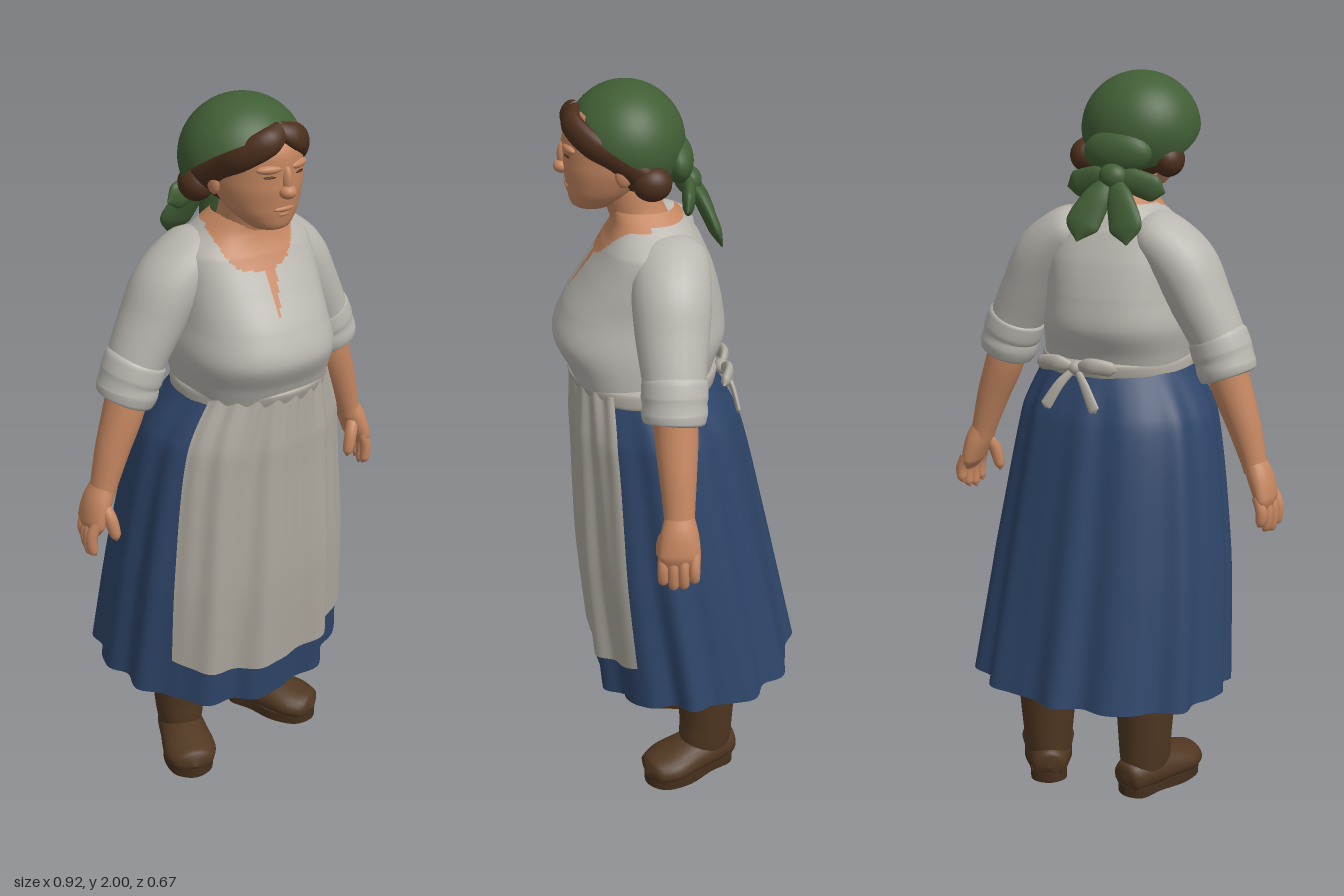
import * as THREE from 'three';

const mat = (name, color, side = THREE.FrontSide) => {
  const m = new THREE.MeshStandardMaterial({ color, side });
  m.name = name;
  return m;
};
const V = (x, y, z) => new THREE.Vector3(x, y, z);
const YAW = 0.26; // the body is turned slightly to its left

// Surface grid over u (around) and v (along); pick gives a material index per cell
function grid(fn, nu, nv, wrap, pick) {
  const pos = [], lists = [[], []], cols = wrap ? nu : nu + 1;
  for (let i = 0; i <= nv; i++) {
    for (let j = 0; j < cols; j++) pos.push(...fn(j / nu, i / nv).toArray());
  }
  for (let i = 0; i < nv; i++) {
    for (let j = 0; j < nu; j++) {
      const k = (j + 1) % cols;
      const a = i * cols + j, b = i * cols + k, c = a + cols, d = b + cols;
      const index = pick ? pick(fn((j + 0.5) / nu, (i + 0.5) / nv)) : 0;
      lists[index].push(a, c, b, b, c, d);
    }
  }
  const g = new THREE.BufferGeometry();
  g.setAttribute('position', new THREE.Float32BufferAttribute(pos, 3));
  g.setIndex(lists.flat());
  if (pick) {
    g.addGroup(0, lists[0].length, 0);
    g.addGroup(lists[0].length, lists[1].length, 1);
  }
  g.computeVertexNormals();
  return g;
}

// Smooth interpolation through rows of [x, y, z, rx, rz]
function spine(rows) {
  const centre = new THREE.CatmullRomCurve3(rows.map(r => V(r[0], r[1], r[2])));
  const radius = new THREE.CatmullRomCurve3(rows.map(r => V(r[3], r[4] ?? r[3], 0)));
  return { centre, radius };
}

// Unit outline point; power above 2 makes the circle squarer
function outline(a, power) {
  const c = Math.cos(a), s = Math.sin(a);
  const k = (Math.abs(c) ** power + Math.abs(s) ** power) ** (-1 / power);
  return [c * k, s * k];
}

// Rounded sections swept along a spine; flat keeps rings horizontal
function sweep(rows, { yaw = 0, ref, flat = false, power = 2, nu = 24, nv = 24, pick } = {}) {
  const { centre, radius } = spine(rows);
  const front = ref ?? V(Math.sin(yaw), 0, Math.cos(yaw));
  return grid((u, v) => {
    const t = flat ? V(0, 1, 0) : centre.getTangent(v);
    const x = t.clone().cross(front).normalize(), f = x.clone().cross(t);
    const r = radius.getPoint(v), [c, s] = outline(u * Math.PI * 2, power);
    return centre.getPoint(v)
      .addScaledVector(x, Math.max(r.x, 0.001) * c)
      .addScaledVector(f, Math.max(r.y, 0.001) * s);
  }, nu, nv, true, pick);
}

export function createModel() {
  const model = new THREE.Group();
  model.name = 'woman';
  const skin = mat('skin', 0xc48660), hair = mat('hair', 0x4c2f1d);
  const blouse = mat('blouse cloth', 0xb9b6af);
  const apronCloth = mat('apron cloth', 0xaea99f, THREE.DoubleSide);
  const skirtCloth = mat('skirt cloth', 0x2e4569, THREE.DoubleSide);
  const green = mat('kerchief cloth', 0x415e35, THREE.DoubleSide);
  const leather = mat('boot leather', 0x503721), soleMat = mat('boot sole', 0x442f1c);

  const add = (parent, name, geometry, material) => {
    const m = new THREE.Mesh(geometry, material);
    m.name = name;
    parent.add(m);
    return m;
  };
  const blob = (parent, name, material, p, s) => {
    const m = add(parent, name, new THREE.SphereGeometry(1, 24, 16), material);
    m.position.set(...p);
    m.scale.set(...s);
    return m;
  };
  const group = (parent, name) => {
    const g = new THREE.Group();
    g.name = name;
    parent.add(g);
    return g;
  };

  // Torso: blouse with a scooped neckline and a short slit
  const neckline = p => {
    const dx = p.x - 0.02;
    if (p.z + dx * 0.26 < 0.07) return p.y > 1.665 ? 1 : 0;
    const scoop = p.y > 1.568 + 500 * dx ** 4;
    const slit = p.y > 1.46 && Math.abs(p.x - 0.042) < 0.13 * (p.y - 1.45);
    return scoop || slit ? 1 : 0;
  };
  add(model, 'blouse', sweep([
    [0.03, 1.21, 0.09, 0.195, 0.175], [0.026, 1.27, 0.095, 0.203, 0.196],
    [0.018, 1.35, 0.1, 0.208, 0.228], [0.016, 1.43, 0.09, 0.197, 0.21],
    [0.016, 1.52, 0.072, 0.193, 0.17], [0.015, 1.6, 0.064, 0.183, 0.128],
    [0.015, 1.65, 0.068, 0.125, 0.1], [0.015, 1.69, 0.085, 0.08, 0.08],
  ], { yaw: YAW, flat: true, power: 2.4, nu: 160, nv: 100, pick: neckline }), [blouse, skin]);
  add(model, 'neck', sweep([
    [0.013, 1.64, 0.085, 0.078], [0.015, 1.7, 0.11, 0.074], [0.02, 1.78, 0.135, 0.075],
  ], { yaw: YAW, flat: true }), skin);

  // Skirt, with pleats deepening towards a hem that dips at the front
  const skirt = spine([
    [0.03, 1.24, 0.09, 0.2, 0.18], [0.005, 1.1, 0.06, 0.272, 0.22],
    [-0.01, 0.7, 0.01, 0.33, 0.26], [-0.015, 0.345, -0.045, 0.358, 0.278],
  ]);
  const skirtPoint = (a, t, out) => {
    const p = skirt.centre.getPoint(t), r = skirt.radius.getPoint(t), [oc, os] = outline(a, 2 + 0.2 * t);
    const pleat = out + t * (0.012 * Math.sin(12 * a + 1) + 0.005 * Math.sin(19 * a));
    const x = (r.x + pleat) * oc, z = (r.y + pleat) * os;
    const c = Math.cos(0.22), s = Math.sin(0.22), dip = 0.07 * Math.max(0, Math.sin(a)) ** 2;
    return V(p.x + x * c + z * s, p.y - dip * t * t, p.z - x * s + z * c);
  };
  add(model, 'skirt', grid((u, v) => skirtPoint(u * Math.PI * 2, 1 - v, 0), 144, 40, true), skirtCloth);

  // Apron panel with gathers over the front of the skirt, waistband and bow
  add(model, 'apron', grid((u, v) => {
    const t = (1 - v) * (0.9 - 0.02 * Math.pow(Math.abs(2 * u - 1), 4));
    const from = 0.43 + 0.13 * t, to = 2.62 - 0.22 * t;
    const gather = 0.004 * Math.sin(u * 55) * (1 - t);
    return skirtPoint(from + (to - from) * u, t, 0.011 + gather);
  }, 90, 36, false), apronCloth);
  add(model, 'apronWaistband', sweep([
    [0.03, 1.2, 0.085, 0.19, 0.175], [0.03, 1.208, 0.085, 0.213, 0.19],
    [0.03, 1.245, 0.088, 0.21, 0.2], [0.03, 1.26, 0.09, 0.195, 0.18],
  ], { yaw: YAW, flat: true, nu: 64, nv: 12 }), apronCloth);
  const bow = group(model, 'apronBow');
  bow.position.set(0.01, 1.24, -0.122);
  bow.rotation.y = YAW;
  blob(bow, 'bowKnot', apronCloth, [0, 0, 0], [0.022, 0.02, 0.02]);
  for (const s of [-1, 1]) {
    add(bow, 'bowLoop', sweep([[0, 0, 0, 0.008], [s * 0.05, 0.012, -0.015, 0.022, 0.012],
      [s * 0.1, 0.005, 0, 0.02, 0.012], [s * 0.115, 0, 0.005, 0.003]]), apronCloth);
    add(bow, 'bowTail', sweep([[0, 0, 0, 0.008], [s * 0.035, -0.04, -0.025, 0.013, 0.007],
      [s * 0.07, -0.1, -0.04, 0.016, 0.006], [s * 0.075, -0.107, -0.041, 0.001]]), apronCloth);
  }

  // Arms: sleeve, rolled cuff, forearm and hand
  for (const s of [-1, 1]) {
    const arm = group(model, s > 0 ? 'leftArm' : 'rightArm');
    // k shifts a row along z to follow the turned shoulder line
    const limb = (name, rows, material, o = {}) => add(arm, name,
      sweep(rows.map(([x, y, k, rx, rz, dz = 0]) => [s * x, y, 0.033 - s * k + dz, rx, rz ?? rx]),
        { yaw: YAW, ...o }), material);
    limb('sleeve', [[0.05, 1.605, 0.02, 0.03, 0.05], [0.11, 1.583, 0.035, 0.072, 0.098],
      [0.19, 1.508, 0.052, 0.088, 0.102], [0.24, 1.42, 0.062, 0.081, 0.094],
      [0.285, 1.33, 0.073, 0.074, 0.082], [0.305, 1.28, 0.077, 0.07, 0.078]], blouse, { nv: 32 });
    limb('cuff', [[0.278, 1.345, 0.074, 0.06], [0.287, 1.325, 0.075, 0.08, 0.084],
      [0.3, 1.29, 0.077, 0.082, 0.086], [0.307, 1.272, 0.078, 0.079, 0.083],
      [0.313, 1.25, 0.079, 0.081, 0.085], [0.322, 1.225, 0.081, 0.075, 0.078],
      [0.325, 1.218, 0.081, 0.045]], blouse, { nv: 36 });
    limb('forearm', [[0.305, 1.28, 0.078, 0.055], [0.325, 1.2, 0.085, 0.054, 0.056],
      [0.364, 1.09, 0.096, 0.045, 0.048], [0.394, 0.99, 0.104, 0.034, 0.04],
      [0.4, 0.97, 0.105, 0.033, 0.04]], skin);
    limb('palm', [[0.392, 1.0, 0.104, 0.03, 0.037], [0.414, 0.95, 0.108, 0.034, 0.05],
      [0.43, 0.9, 0.11, 0.028, 0.055], [0.436, 0.87, 0.11, 0.012, 0.04]], skin);
    for (let i = 0; i < 4; i++) {
      const dz = 0.04 - i * 0.027, tip = 0.8 + [0.012, 0, 0.006, 0.025][i];
      limb('finger', [[0.427, 0.91, 0.11, 0.014, 0.014, dz], [0.443, 0.87, 0.11, 0.016, 0.015, dz],
        [0.441, tip + 0.015, 0.11, 0.014, 0.014, dz], [0.433, tip, 0.11, 0.001, 0.001, dz]],
        skin, { nu: 12, nv: 12 });
    }
    limb('thumb', [[0.408, 0.96, 0.108, 0.016, 0.016, 0.02], [0.393, 0.92, 0.108, 0.018, 0.018, 0.044],
      [0.382, 0.87, 0.108, 0.015, 0.015, 0.052], [0.379, 0.85, 0.108, 0.001, 0.001, 0.052]],
      skin, { nu: 12, nv: 12 });
  }

  // Head
  const head = group(model, 'head');
  head.position.set(0.012, 1.84, 0.142);
  head.rotation.y = 0.27;
  add(head, 'face', sweep([
    [0, -0.163, 0.075, 0.012], [0, -0.148, 0.073, 0.05, 0.052], [0, -0.105, 0.042, 0.09, 0.097],
    [0, -0.04, 0.015, 0.112, 0.132], [0, 0.04, 0, 0.115, 0.145], [0, 0.1, -0.01, 0.095, 0.115],
    [0, 0.135, -0.02, 0.02, 0.03],
  ], { flat: true, nu: 40, nv: 40 }), skin);
  blob(head, 'noseTip', skin, [0, -0.047, 0.148], [0.022, 0.018, 0.023]);
  blob(head, 'noseBridge', skin, [0, -0.018, 0.142], [0.013, 0.036, 0.018]);
  blob(head, 'upperLip', skin, [0, -0.093, 0.134], [0.03, 0.008, 0.01]);
  blob(head, 'lowerLip', skin, [0, -0.107, 0.128], [0.024, 0.008, 0.012]);
  for (const s of [-1, 1]) {
    blob(head, 'brow', skin, [s * 0.045, 0.012, 0.132], [0.032, 0.011, 0.012]).rotation.y = s * 0.35;
    blob(head, 'eye', hair, [s * 0.045, -0.007, 0.136], [0.016, 0.003, 0.004]).rotation.y = s * 0.35;
    blob(head, 'ear', skin, [s * 0.112, -0.04, 0.0], [0.014, 0.032, 0.022]);
    // Parted hair swept back to a bun at each side of the nape
    add(head, 'hairLock', sweep([
      [-s * 0.004, 0.1, 0.115, 0.022, 0.014], [s * 0.04, 0.078, 0.124, 0.034, 0.022],
      [s * 0.088, 0.037, 0.08, 0.036, 0.024], [s * 0.106, 0.0, 0.02, 0.036, 0.022],
      [s * 0.115, -0.045, -0.05, 0.035, 0.024], [s * 0.11, -0.06, -0.08, 0.01],
    ], { ref: V(s, 0, 0.9) }), hair);
    blob(head, 'hairBun', hair, [s * 0.118, -0.062, -0.07], [0.042, 0.045, 0.05]);
  }
  blob(head, 'backHair', hair, [0, -0.01, -0.035], [0.122, 0.115, 0.115]);

  // Kerchief: tilted cap tied at the nape
  const cap = add(head, 'kerchief', new THREE.SphereGeometry(1, 48, 24, 0, Math.PI * 2, 0, 1.66), green);
  cap.position.set(-0.018, 0.01, -0.016);
  cap.scale.set(0.16, 0.15, 0.152);
  cap.rotation.x = -0.6;
  const tie = group(head, 'kerchiefTie');
  tie.position.set(-0.005, -0.1, -0.175);
  blob(tie, 'kerchiefKnot', green, [0, 0, 0], [0.04, 0.037, 0.034]);
  blob(tie, 'kerchiefFold', green, [0, 0.06, 0.03], [0.095, 0.06, 0.042]);
  for (const s of [-1, 1]) {
    add(tie, 'kerchiefWing', sweep([[0, 0, 0, 0.012], [s * 0.05, -0.008, 0.005, 0.034, 0.018],
      [s * 0.105, -0.025, 0.012, 0.036, 0.016], [s * 0.138, -0.035, 0.018, 0.002]]), green);
    add(tie, 'kerchiefTail', sweep([[0, 0, 0, 0.012], [s * 0.03, -0.05, -0.032, 0.038, 0.018],
      [s * 0.06, -0.115, -0.062, 0.047, 0.016], [s * 0.07, -0.16, -0.08, 0.002]]), green);
  }

  // Boots
  const soleShape = new THREE.Shape();
  soleShape.setFromPoints(new THREE.CatmullRomCurve3([
    V(0, -0.093, 0), V(0.046, -0.07, 0), V(0.053, 0, 0), V(0.07, 0.09, 0), V(0.053, 0.163, 0),
    V(0, 0.19, 0), V(-0.053, 0.163, 0), V(-0.07, 0.09, 0), V(-0.053, 0, 0), V(-0.046, -0.07, 0),
  ], true).getPoints(48).slice(0, -1).map(p => new THREE.Vector2(p.x, -p.y)));
  for (const [name, x, z, yaw] of [['leftBoot', 0.14, -0.1, 0.72], ['rightBoot', -0.145, 0, -0.1]]) {
    const boot = group(model, name);
    boot.position.set(x, 0, z);
    boot.rotation.y = yaw;
    const sole = add(boot, 'sole', new THREE.ExtrudeGeometry(soleShape, { depth: 0.03, bevelEnabled: false }), soleMat);
    sole.rotation.x = -Math.PI / 2;
    add(boot, 'foot', sweep([
      [0, 0.05, -0.098, 0.001], [0, 0.052, -0.086, 0.045, 0.045], [0, 0.062, -0.02, 0.064, 0.058],
      [0, 0.058, 0.05, 0.07, 0.054], [0, 0.05, 0.12, 0.077, 0.045], [0, 0.044, 0.175, 0.056, 0.036],
      [0, 0.042, 0.195, 0.001],
    ], { ref: V(0, 1, 0) }), leather);
    add(boot, 'shaft', sweep([
      [0, 0.05, -0.01, 0.058, 0.07], [0, 0.11, -0.008, 0.068, 0.078], [0, 0.17, -0.01, 0.074, 0.078],
      [0, 0.3, -0.008, 0.084, 0.086], [0, 0.46, 0, 0.088, 0.09], [0, 0.48, 0, 0.001],
    ], { flat: true, nu: 28 }), leather);
  }
  return model;
}
